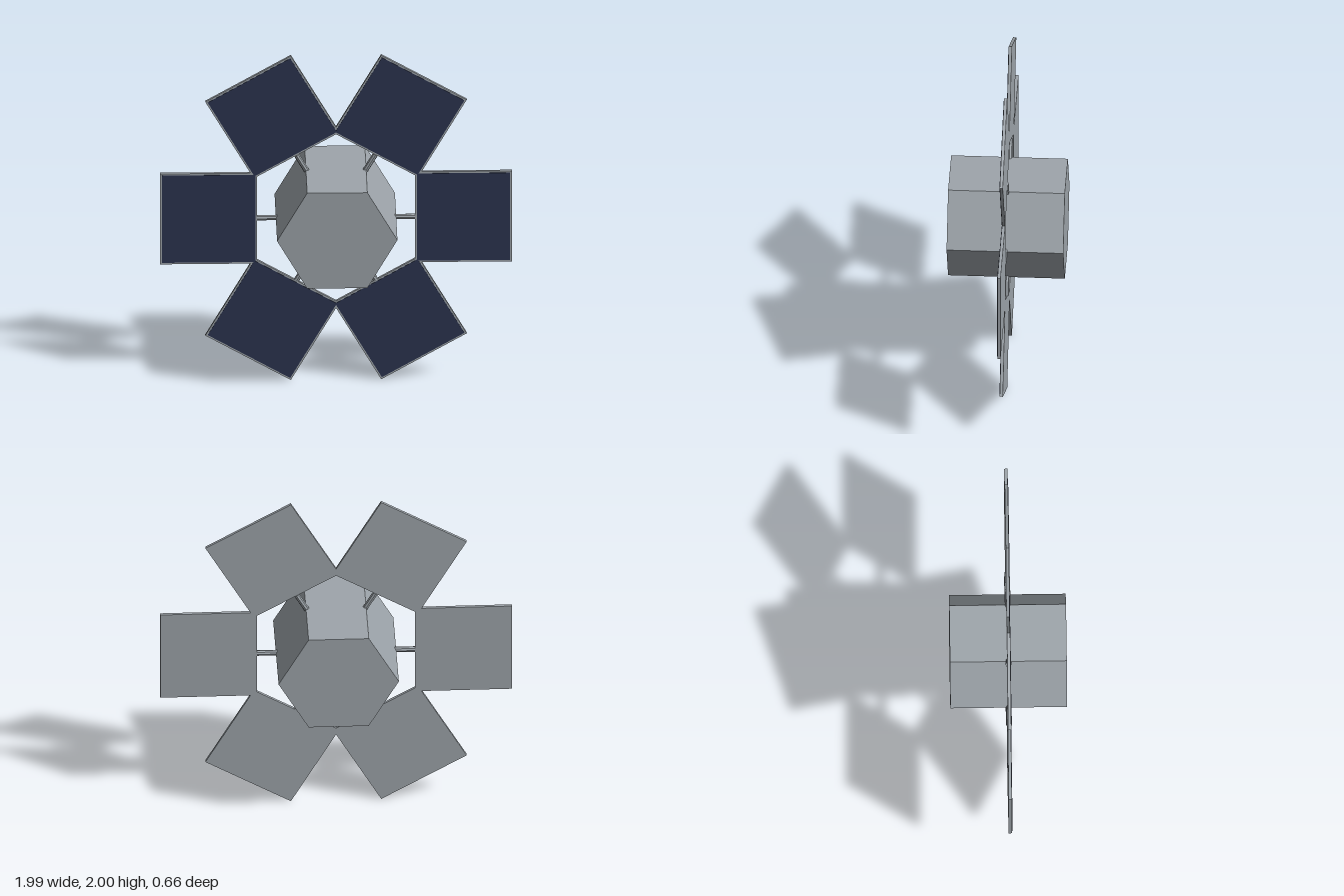
import * as THREE from 'three';

const BODY_RADIUS = 0.34, BODY_DEPTH = 0.66;
const PANEL_INNER = 0.446, PANEL_OUTER = 0.994, PANEL_WIDTH = 0.558;
const PANEL_DEPTH = 0.018, BORDER = 0.01, CELL_DEPTH = 0.002;

export function createModel() {
  const metal = new THREE.MeshStandardMaterial({ name: 'grey metal', color: 0x9ea5ab, flatShading: true });
  const cells = new THREE.MeshStandardMaterial({ name: 'solar cell blue', color: 0x2c3450 });

  const model = new THREE.Group();
  model.name = 'satellite';
  const hub = new THREE.Group();
  hub.name = 'hub';
  hub.position.y = 1;
  model.add(hub);

  const add = (parent, name, geometry, material) => {
    const mesh = new THREE.Mesh(geometry, material);
    mesh.name = name;
    parent.add(mesh);
    return mesh;
  };

  // Hexagonal body lying along z, with corners on the x axis
  const bodyGeo = new THREE.CylinderGeometry(BODY_RADIUS, BODY_RADIUS, BODY_DEPTH, 6)
    .rotateY(Math.PI / 2)
    .rotateX(Math.PI / 2);
  rotateToCorner(bodyGeo);
  add(hub, 'body', bodyGeo, metal);

  // Shared geometry for one radial arm pointing along +x
  const length = PANEL_OUTER - PANEL_INNER;
  const middle = (PANEL_INNER + PANEL_OUTER) / 2;
  const strutStart = BODY_RADIUS - 0.04;
  const strutGeo = new THREE.CylinderGeometry(0.016, 0.016, PANEL_INNER - strutStart, 8)
    .rotateZ(-Math.PI / 2)
    .translate((PANEL_INNER + strutStart) / 2, 0, 0);
  const frameGeo = new THREE.BoxGeometry(length, PANEL_WIDTH, PANEL_DEPTH).translate(middle, 0, 0);
  const cellGeo = new THREE.BoxGeometry(length - 2 * BORDER, PANEL_WIDTH - 2 * BORDER, CELL_DEPTH)
    .translate(middle, 0, PANEL_DEPTH / 2 + CELL_DEPTH / 2);

  // Six arms, each a strut and a solar panel
  for (let i = 0; i < 6; i++) {
    const arm = new THREE.Group();
    arm.name = `arm${i + 1}`;
    arm.rotation.z = (i * Math.PI) / 3;
    add(arm, 'strut', strutGeo, metal);
    add(arm, 'panelFrame', frameGeo, metal);
    add(arm, 'solarCells', cellGeo, cells);
    hub.add(arm);
  }
  return model;
}

// Turns a prism about z so that its first rim corner lies on the x axis
function rotateToCorner(geometry) {
  const p = geometry.attributes.position;
  geometry.rotateZ(-Math.atan2(p.getY(0), p.getX(0)));
}
